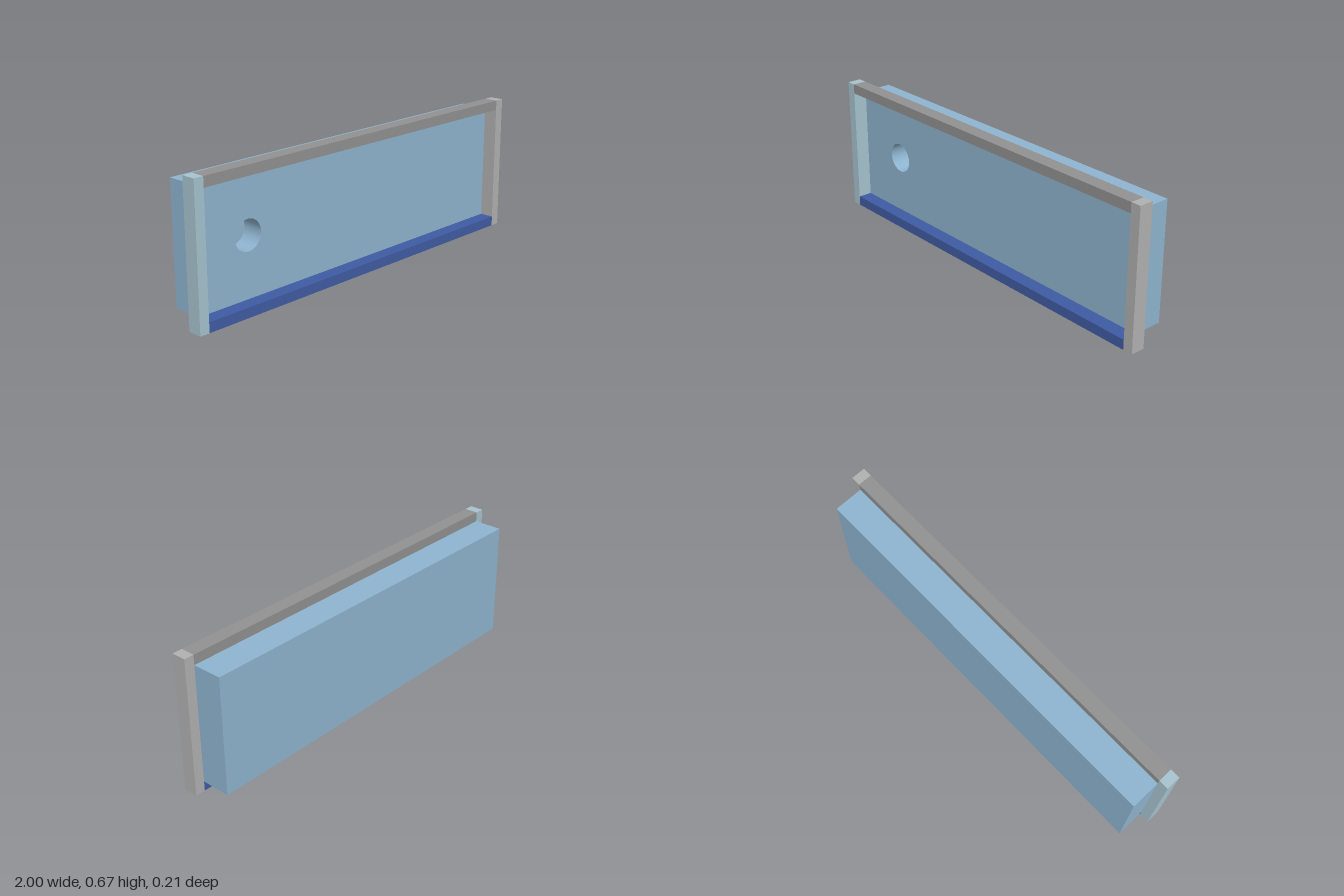
import * as THREE from 'three';

const H = 0.667, RAIL = 0.048;           // overall height, frame bar width
const FRONT = 0.107, MID = 0.037, BACK = -0.107;
const HOLE = { x: -0.67, y: 0.335, r: 0.073, depth: 0.107 };

const mat = (color, side = THREE.FrontSide) => new THREE.MeshStandardMaterial({ color, side });

function add(group, name, geometry, material, x, y, z) {
  const mesh = new THREE.Mesh(geometry, material);
  mesh.name = name;
  mesh.position.set(x, y, z);
  group.add(mesh);
  return mesh;
}

export function createModel() {
  const model = new THREE.Group();
  model.name = 'framedPanel';

  // Frame: two full-height posts with rails between them
  const frame = new THREE.Group();
  frame.name = 'frame';
  model.add(frame);
  const d = FRONT - MID, zf = (FRONT + MID) / 2;
  const innerW = 2 - 2 * RAIL, innerH = H - 2 * RAIL;
  const post = new THREE.BoxGeometry(RAIL, H, d);
  const rail = new THREE.BoxGeometry(innerW, RAIL, d);
  add(frame, 'rightPost', post, mat(0xa6c3cf), -1 + RAIL / 2, H / 2, zf);
  add(frame, 'leftPost', post, mat(0xb1b0b0), 1 - RAIL / 2, H / 2, zf);
  add(frame, 'topRail', rail, mat(0x929191), 0, H - RAIL / 2, zf);
  add(frame, 'bottomRail', rail, mat(0x3f5ba3), 0, RAIL / 2, zf);

  // Panel body: a box without its front face
  const panel = new THREE.Group();
  panel.name = 'panel';
  model.add(panel);
  const blue = mat(0x8eb4cf);
  const body = new THREE.BoxGeometry(innerW, innerH, MID - BACK);
  const index = Array.from(body.index.array);
  index.splice(24, 6);
  body.setIndex(index);
  body.clearGroups();
  add(panel, 'panelBody', body, blue, 0, H / 2, (MID + BACK) / 2);

  // Panel front, pierced by the round hole
  const w = innerW / 2, y0 = RAIL, y1 = H - RAIL;
  const face = new THREE.Shape([[-w, y0], [w, y0], [w, y1], [-w, y1]].map(p => new THREE.Vector2(...p)));
  face.holes.push(new THREE.Path().absarc(HOLE.x, HOLE.y, HOLE.r, 0, Math.PI * 2, true));
  add(panel, 'panelFront', new THREE.ShapeGeometry(face, 24), blue, 0, 0, MID);

  // Blind hole: wall and floor
  const wall = new THREE.CylinderGeometry(HOLE.r, HOLE.r, HOLE.depth, 48, 1, true).rotateX(Math.PI / 2);
  add(panel, 'holeWall', wall, mat(0x8eb4cf, THREE.DoubleSide), HOLE.x, HOLE.y, MID - HOLE.depth / 2);
  add(panel, 'holeFloor', new THREE.CircleGeometry(HOLE.r, 48), blue, HOLE.x, HOLE.y, MID - HOLE.depth);

  return model;
}
